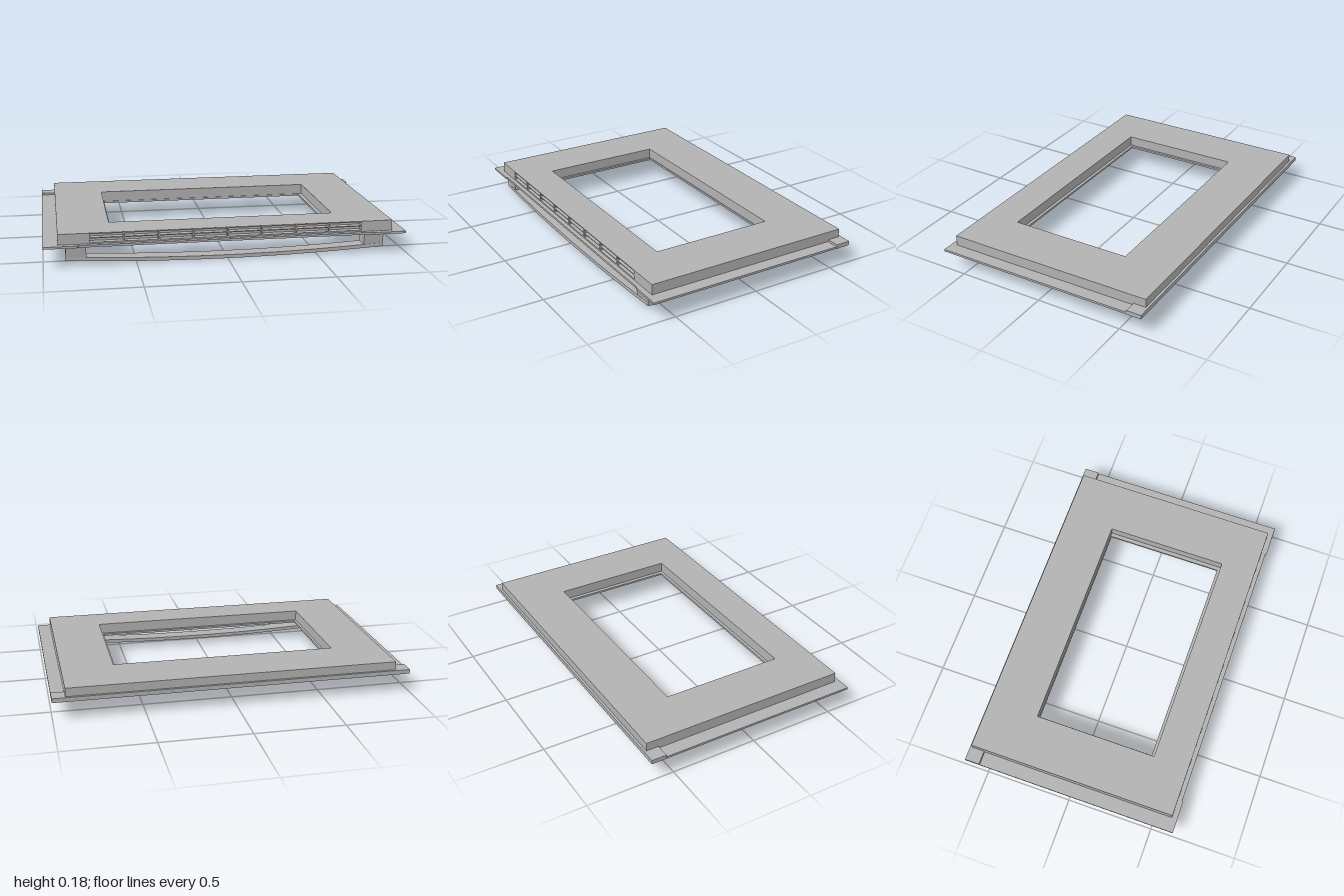
import * as THREE from 'three';

export function createModel() {
  const door = new THREE.Group();
  door.name = 'ovenDoor';
  const grey = new THREE.MeshStandardMaterial({ color: 0xb2b2b2 });
  grey.name = 'grey metal';

  function add(name, geometry, parent = door) {
    const mesh = new THREE.Mesh(geometry, grey);
    mesh.name = name;
    parent.add(mesh);
    return mesh;
  }

  // Box given by its limits on each axis
  function box(name, x0, x1, y0, y1, z0, z1, parent) {
    const g = new THREE.BoxGeometry(x1 - x0, y1 - y0, z1 - z0);
    g.translate((x0 + x1) / 2, (y0 + y1) / 2, (z0 + z1) / 2);
    return add(name, g, parent);
  }

  // Flat slab lying in the xz plane with a rectangular opening
  function frame(name, outline, hole, y0, y1) {
    const shape = new THREE.Shape(outline.map(([x, z]) => new THREE.Vector2(x, -z)));
    const [x0, x1, z0, z1] = hole;
    shape.holes.push(new THREE.Path([[x0, z0], [x0, z1], [x1, z1], [x1, z0]].map(([x, z]) => new THREE.Vector2(x, -z))));
    const g = new THREE.ExtrudeGeometry(shape, { depth: y1 - y0, bevelEnabled: false });
    g.rotateX(-Math.PI / 2);
    g.translate(0, y0, 0);
    return add(name, g);
  }

  // Outer panel, its front edge slightly longer at both corners
  frame('outerPanel', [
    [-1, -0.54], [-1, 0.627], [-0.82, 0.627], [-0.81, 0.62],
    [0.81, 0.62], [0.82, 0.627], [1, 0.627], [1, -0.54],
  ], [-0.62, 0.612, -0.315, 0.372], 0.107, 0.119);

  // Raised strip along the hinge edge
  box('hingeStrip', -1, 1, 0.106, 0.13, -0.628, -0.542);

  // Inner body with the window opening
  const left = -0.92, right = 0.927, top = 0.178, base = 0.119, front = 0.596, recess = 0.56;
  frame('innerBody', [[left, -0.614], [left, recess], [right, recess], [right, -0.614]],
    [-0.635, 0.635, -0.32, 0.39], base, top);

  // Front edge of the body with two rows of vent slots
  const vents = new THREE.Group();
  vents.name = 'ventEdge';
  door.add(vents);
  box('ventEnd', left, -0.75, base, top, recess, front, vents);
  box('ventEnd', 0.75, right, base, top, recess, front, vents);
  box('ventTop', -0.75, 0.75, 0.172, top, recess, front, vents);
  box('ventSill', -0.75, 0.75, base, 0.127, recess, front, vents);
  box('ventMiddleBar', -0.75, 0.75, 0.148, 0.153, recess, front, vents);
  for (let i = -3; i <= 3; i++) {
    box('ventDivider', i * 0.189 - 0.004, i * 0.189 + 0.004, 0.127, 0.172, recess, front, vents);
  }

  // Bowed handle bar
  const handle = new THREE.Group();
  handle.name = 'handle';
  door.add(handle);
  const half = 0.88, steps = 24;
  const bow = (x) => 0.028 * (x / half) ** 2;
  const bar = new THREE.Shape();
  bar.moveTo(-half, bow(half));
  for (let i = 1; i <= steps; i++) {
    const x = -half + (2 * half * i) / steps;
    bar.lineTo(x, bow(x));
  }
  for (let i = steps; i >= 0; i--) {
    const x = -half + (2 * half * i) / steps;
    bar.lineTo(x, bow(x) + 0.02);
  }
  const barGeometry = new THREE.ExtrudeGeometry(bar, { depth: 0.085, bevelEnabled: false });
  barGeometry.translate(0, 0, 0.505);
  add('handleBar', barGeometry, handle);

  // Handle posts, a little deeper where they meet the panel
  for (const side of [-1, 1]) {
    const post = box('handlePost', side * 0.825 - 0.055, side * 0.825 + 0.055, 0.035, 0.108, 0.505, 0.588, handle);
    const p = post.geometry.attributes.position;
    for (let i = 0; i < p.count; i++) {
      if (p.getY(i) > 0.1 && p.getZ(i) > 0.55) p.setZ(i, 0.595);
      if (p.getY(i) > 0.1 && p.getZ(i) < 0.55) p.setZ(i, 0.502);
    }
    post.geometry.computeVertexNormals();
  }
  return door;
}
